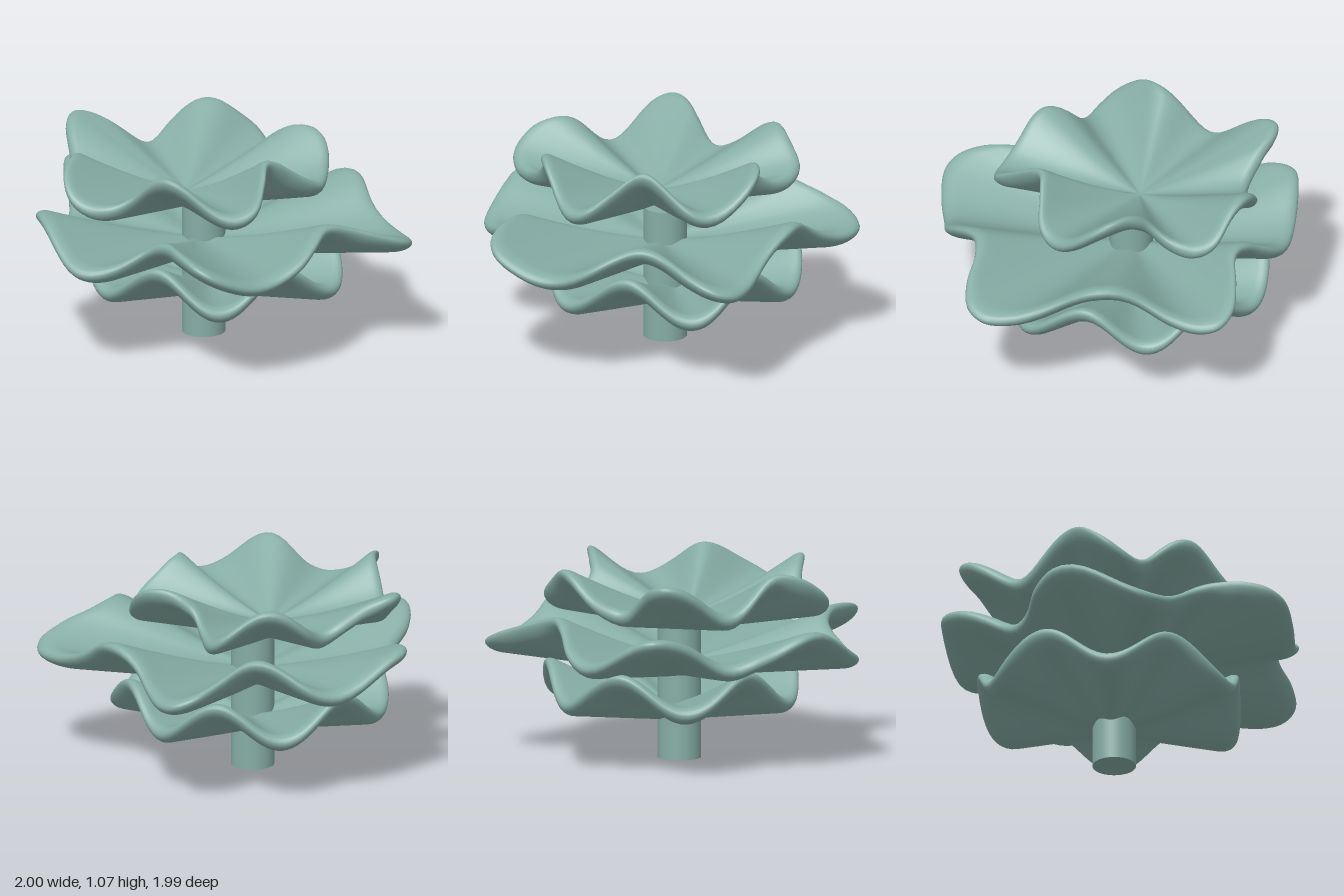
import * as THREE from 'three';

const SEGMENTS = 168;
const HALF = 0.045; // half the thickness of a tier
const ROUND = 0.09; // share of the radius taken by the rounded rim

// Top view outlines as [x, z] points, running from +x towards +z
const upperOutline = [
  [0.43, 0.08], [0.5, 0.2], [0.57, 0.35], [0.52, 0.46], [0.35, 0.57], [0.2, 0.645], [0, 0.665],
  [-0.09, 0.74], [-0.2, 0.83], [-0.3, 0.85], [-0.4, 0.78], [-0.48, 0.61], [-0.6, 0.48],
  [-0.72, 0.33], [-0.88, 0.18], [-0.92, 0.07], [-0.88, 0], [-0.78, -0.07], [-0.65, -0.18],
  [-0.63, -0.38], [-0.55, -0.5], [-0.4, -0.6], [-0.28, -0.67], [-0.18, -0.64], [-0.07, -0.53],
  [0.01, -0.47], [0.1, -0.49], [0.27, -0.52], [0.38, -0.47], [0.5, -0.28], [0.52, -0.17], [0.46, -0.02],
];
const middleOutline = [
  [0.81, 0.04], [0.85, 0.2], [0.86, 0.32], [0.8, 0.5], [0.74, 0.7], [0.67, 0.83], [0.58, 0.87],
  [0.45, 0.85], [0.3, 0.79], [0.17, 0.78], [0.05, 0.88], [-0.07, 0.97], [-0.17, 0.99],
  [-0.35, 0.93], [-0.58, 0.79], [-0.65, 0.66], [-0.66, 0.5], [-0.74, 0.32], [-0.93, 0.14],
  [-1, 0.02], [-0.97, -0.1], [-0.83, -0.35], [-0.7, -0.48], [-0.55, -0.54], [-0.42, -0.62],
  [-0.35, -0.8], [-0.28, -0.94], [-0.18, -1], [-0.07, -0.97], [0.05, -0.88], [0.18, -0.78],
  [0.4, -0.71], [0.58, -0.6], [0.85, -0.52], [0.96, -0.46], [1, -0.36], [0.95, -0.22], [0.85, -0.08],
];
// Lower outline from [degrees, radius] pairs
const lowerOutline = [
  [14, 0.67], [48, 0.73], [76, 0.66], [100, 0.69], [130, 0.69], [155, 0.74],
  [190, 0.71], [218, 0.72], [250, 0.67], [278, 0.69], [312, 0.66], [341, 0.74],
].map(([deg, r]) => {
  const a = THREE.MathUtils.degToRad(deg);
  return [-0.07 + r * Math.cos(a), -0.02 + r * Math.sin(a)];
});

// Section from the top centre, around the rounded rim, to the bottom centre: [t, offset y]
const section = [];
for (let i = 0; i <= 16; i++) section.push([((1 - ROUND) * i) / 16, HALF]);
for (let i = 1; i < 12; i++) {
  const a = Math.PI / 2 - (i / 12) * Math.PI;
  section.push([1 - ROUND + ROUND * Math.cos(a), HALF * Math.sin(a)]);
}
for (let i = 16; i >= 0; i--) section.push([((1 - ROUND) * i) / 16, -HALF]);

// A shallow dish with six raised folds around its rim
function tierGeometry({ outline, cx, cz, y, valley, fold, phase, tiltX, tiltZ }) {
  const curve = new THREE.CatmullRomCurve3(
    outline.map(([x, z]) => new THREE.Vector3(x - cx, 0, z - cz)), true);
  const rim = [];
  for (let j = 0; j < SEGMENTS; j++) rim.push(curve.getPoint(j / SEGMENTS));
  const positions = [];
  const indices = [];
  for (const [t, dy] of section) {
    for (const p of rim) {
      const wave = 0.5 + 0.5 * Math.cos(6 * (Math.atan2(p.z, p.x) - phase));
      const tilt = (tiltX * p.x + tiltZ * p.z) * t;
      const h = y + valley * t + fold * wave * t ** 1.4 + tilt + dy;
      positions.push(cx + p.x * t, h, cz + p.z * t);
    }
  }
  // both centres share one vertex
  const id = (i, j) => i * SEGMENTS + (section[i][0] === 0 ? 0 : j % SEGMENTS);
  for (let i = 0; i < section.length - 1; i++) {
    for (let j = 0; j < SEGMENTS; j++) {
      const a = id(i, j), b = id(i, j + 1), c = id(i + 1, j), d = id(i + 1, j + 1);
      if (a !== b) indices.push(a, b, c);
      if (c !== d) indices.push(b, d, c);
    }
  }
  const geometry = new THREE.BufferGeometry();
  geometry.setAttribute('position', new THREE.Float32BufferAttribute(positions, 3));
  geometry.setIndex(indices);
  geometry.computeVertexNormals();
  return geometry;
}

export function createModel() {
  const group = new THREE.Group();
  group.name = 'tieredFungus';
  const material = new THREE.MeshStandardMaterial({ color: 0x86ada5 });
  material.name = 'sage green';

  const add = (name, geometry) => {
    const mesh = new THREE.Mesh(geometry, material);
    mesh.name = name;
    group.add(mesh);
    return mesh;
  };

  // Central stem
  add('stem', new THREE.CylinderGeometry(0.115, 0.115, 0.72, 32)).position.set(-0.07, 0.36, 0.02);

  // Three wavy tiers
  add('lowerTier', tierGeometry({
    outline: lowerOutline, cx: -0.07, cz: -0.02, y: 0.243, valley: 0.085, fold: 0.185,
    phase: Math.PI / 12, tiltX: -0.02, tiltZ: 0,
  }));
  add('middleTier', tierGeometry({
    outline: middleOutline, cx: -0.08, cz: 0.05, y: 0.482, valley: 0.09, fold: 0.185,
    phase: 0, tiltX: 0, tiltZ: -0.02,
  }));
  add('upperTier', tierGeometry({
    outline: upperOutline, cx: -0.14, cz: 0.08, y: 0.74, valley: 0.1, fold: 0.2,
    phase: 0, tiltX: 0.01, tiltZ: 0,
  }));
  return group;
}
